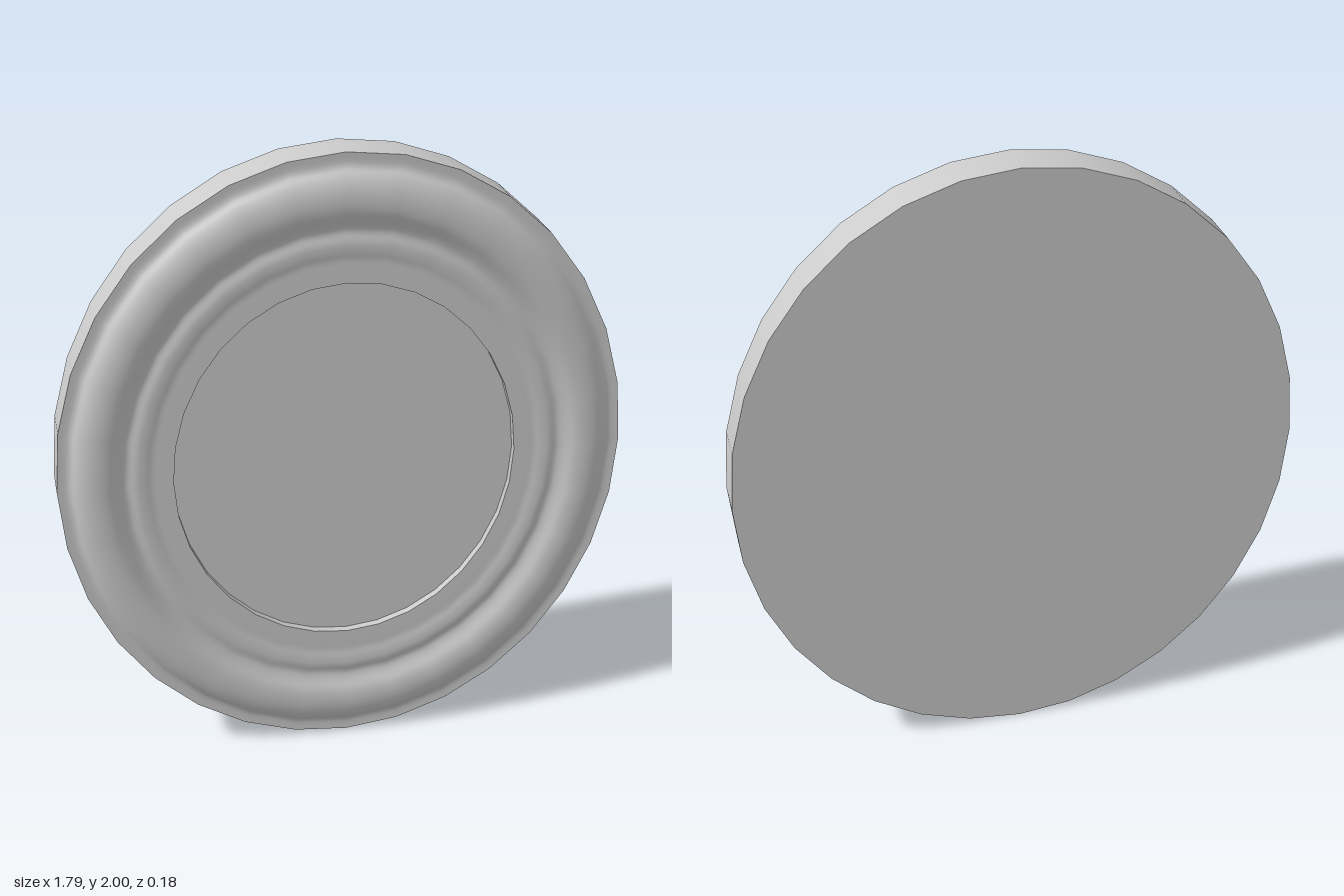
import * as THREE from 'three';

const SEGMENTS = 32;
const BACK = -0.085, EDGE = 0.05, LIP = 0.062, PANEL = 0.037;
const PANEL_RADIUS = 0.605;

export function createModel() {
  const group = new THREE.Group();
  group.name = 'ovalFrame';
  const material = new THREE.MeshStandardMaterial({ color: 0xcccccc });

  // Turns a profile of [radius, depth] about the front axis, narrowed to an oval
  const turned = (name, profile) => {
    const points = profile.map(([r, z]) => new THREE.Vector2(r, z));
    const geometry = new THREE.LatheGeometry(points, SEGMENTS);
    geometry.rotateX(Math.PI / 2);
    geometry.scale(0.893, 1, 1);
    const mesh = new THREE.Mesh(geometry, material);
    mesh.name = name;
    group.add(mesh);
  };

  turned('backBoard', [[0, BACK], [1, BACK]]);
  turned('outerRim', [[1, BACK], [1, EDGE]]);

  // Front moulding: broad outer roll, valley, small bead and flat inner ledge
  const section = [
    [1, EDGE], [0.96, 0.051], [0.935, 0.07], [0.905, 0.083], [0.865, 0.088],
    [0.825, 0.083], [0.79, 0.067], [0.765, 0.061], [0.735, 0.067],
    [0.705, 0.066], [0.68, LIP], [0.65, LIP], [PANEL_RADIUS, LIP],
  ].map(([r, z]) => new THREE.Vector3(r, z, 0));
  const moulding = new THREE.CatmullRomCurve3(section).getPoints(36);
  turned('frontMoulding', moulding.map((p) => [p.x, p.y]));

  // Recessed centre
  turned('innerStep', [[PANEL_RADIUS, LIP], [PANEL_RADIUS, PANEL]]);
  turned('centrePanel', [[PANEL_RADIUS, PANEL], [0, PANEL]]);

  // Stands on the ground with a very slight backward lean
  group.position.y = 1;
  group.rotation.x = -0.004;
  return group;
}
